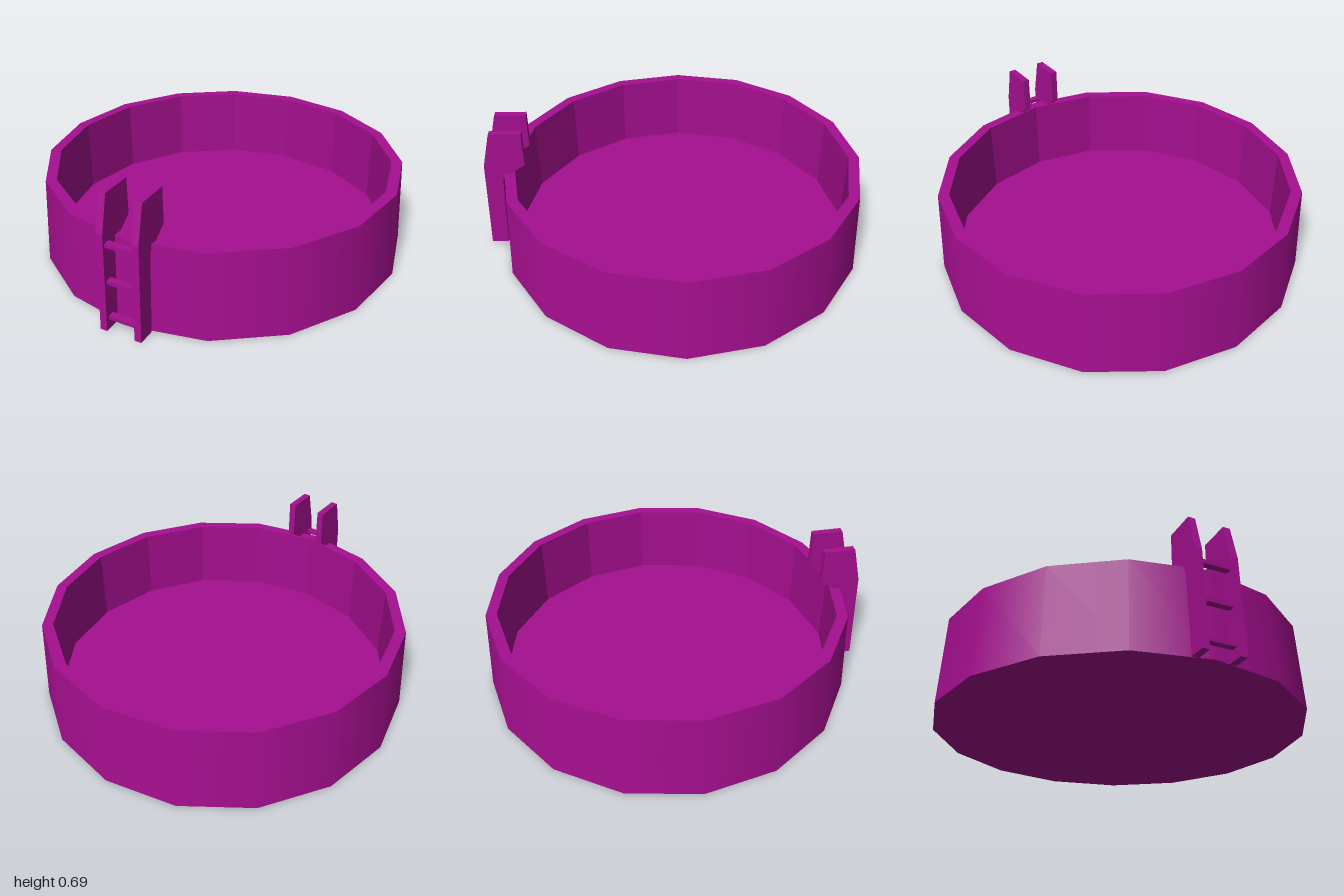
import * as THREE from 'three';

const SIDES = 16, POOL_Z = -0.037;
const BASE_R = 0.963, RIM_R = 0.938, INNER_R = 0.882;
const HEIGHT = 0.455, FLOOR_Y = 0.065;

export function createModel() {
  const group = new THREE.Group();
  const smooth = new THREE.MeshStandardMaterial({ color: 0xa50f8f });
  const flat = new THREE.MeshStandardMaterial({ color: 0xa50f8f, flatShading: true });

  const add = (parent, name, geometry, material, x = 0, y = 0, z = 0) => {
    const mesh = new THREE.Mesh(geometry, material);
    mesh.name = name;
    mesh.position.set(x, y, z);
    parent.add(mesh);
  };
  const ring = (...points) =>
    new THREE.LatheGeometry(points.map(([r, y]) => new THREE.Vector2(r, y)), SIDES);

  // Pool: tapered outer wall, flat rim, faceted inner wall, floor and underside
  const pool = new THREE.Group();
  pool.name = 'pool';
  pool.position.z = POOL_Z;
  group.add(pool);
  add(pool, 'outerWall', ring([BASE_R, 0], [RIM_R, HEIGHT]), smooth);
  add(pool, 'rim', ring([RIM_R, HEIGHT], [INNER_R, HEIGHT]), flat);
  add(pool, 'innerWall', ring([INNER_R, HEIGHT], [INNER_R, FLOOR_Y]), flat);
  add(pool, 'floor', new THREE.CircleGeometry(INNER_R, SIDES).rotateX(-Math.PI / 2), flat, 0, FLOOR_Y);
  add(pool, 'underside', new THREE.CircleGeometry(BASE_R, SIDES).rotateX(Math.PI / 2), flat);

  // Ladder: two side rails hooked over the rim, profile drawn as (z, y)
  const ladder = new THREE.Group();
  ladder.name = 'ladder';
  group.add(ladder);
  const profile = new THREE.Shape([
    [1, 0], [0.978, 0.5], [0.932, 0.69], [0.77, 0.69],
    [0.77, 0.505], [0.89, 0.42], [0.912, 0],
  ].map(([z, y]) => new THREE.Vector2(z, y)));
  const rail = new THREE.ExtrudeGeometry(profile, { depth: 0.036, bevelEnabled: false });
  rail.translate(0, 0, -0.018).rotateY(-Math.PI / 2);
  add(ladder, 'leftRail', rail, flat, 0.092);
  add(ladder, 'rightRail', rail, flat, -0.092);

  // Rungs follow the slight lean of the rails
  for (let i = 0; i < 3; i++) {
    add(ladder, 'rung', new THREE.BoxGeometry(0.16, 0.02, 0.034), flat, 0, 0.062 + i * 0.192, 0.962 - i * 0.005);
  }
  return group;
}
